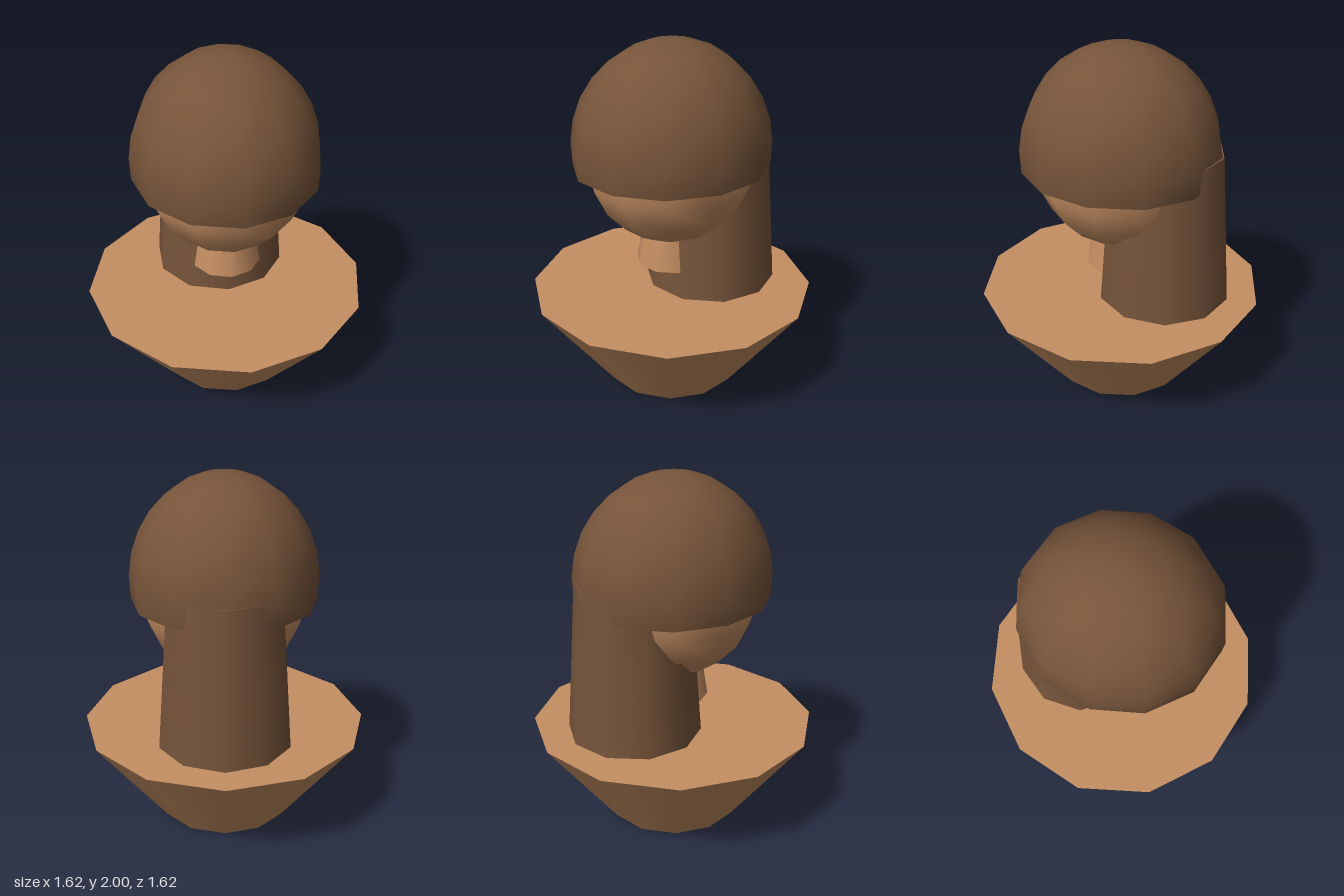
import * as THREE from 'three';

export function createModel() {
  const group = new THREE.Group();
  const skin = new THREE.MeshStandardMaterial({ color: 0xc68f63 });
  skin.name = 'skin';
  const hair = new THREE.MeshStandardMaterial({ color: 0x76543a, side: THREE.DoubleSide });
  hair.name = 'hair';

  const add = (name, geometry, material, x, y, z) => {
    const mesh = new THREE.Mesh(geometry, material);
    mesh.name = name;
    mesh.position.set(x, y, z);
    group.add(mesh);
    return mesh;
  };

  // Tapered frustum standing between two heights
  const frustum = (name, rTop, rBottom, yBottom, yTop, sides, material, z = 0) =>
    add(name, new THREE.CylinderGeometry(rTop, rBottom, yTop - yBottom, sides),
      material, 0, (yBottom + yTop) / 2, z);

  // Flared bust base, wider at the shoulders
  frustum('base', 0.81, 0.39, 0, 0.56, 12, skin);

  // Short neck under the chin
  frustum('neck', 0.155, 0.2, 0.715, 1.0, 10, skin);

  // Egg-shaped head
  add('head', new THREE.SphereGeometry(1, 12, 10), skin, 0, 1.37, 0).scale.set(0.475, 0.51, 0.49);

  // Open hair cap, reaching a little below its widest ring
  add('hairCap', new THREE.SphereGeometry(1, 12, 8, 0, Math.PI * 2, 0, Math.PI * 0.55),
    hair, 0, 1.395, 0).scale.set(0.525, 0.605, 0.565);

  // Long hair falling behind the head onto the shoulders
  frustum('backHair', 0.315, 0.38, 0.55, 1.435, 10, hair, -0.26);

  return group;
}
